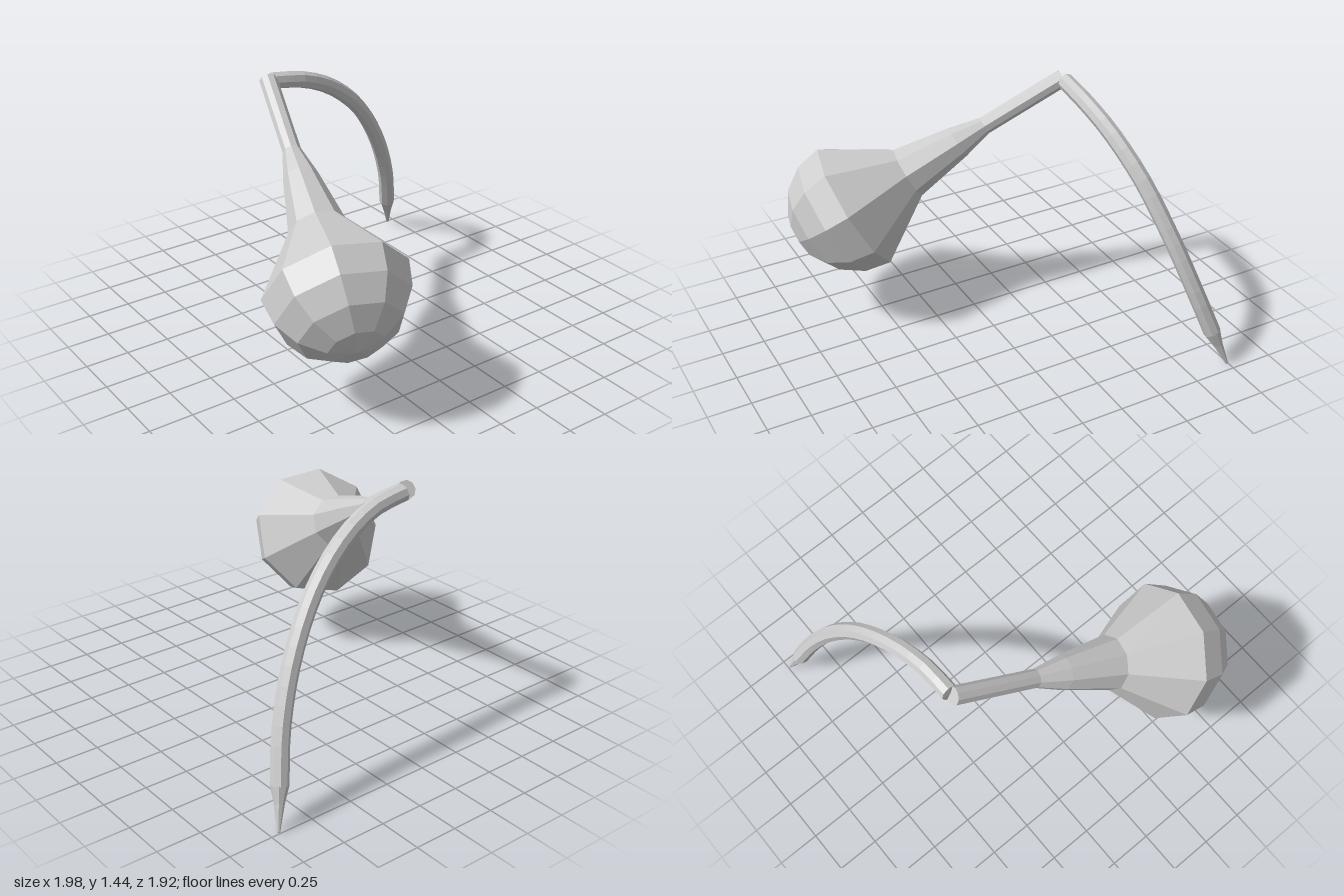
import * as THREE from 'three';

const v = (x, y, z) => new THREE.Vector3(x, y, z);

// Faceted solid of revolution whose profile runs from `start` along `dir`
function lathe(name, profile, sides, start, dir, facing, material) {
  const geo = new THREE.LatheGeometry(profile.map(([r, t]) => new THREE.Vector2(r, t)), sides);
  const y = dir.clone().normalize();
  const z = facing.clone().addScaledVector(y, -facing.dot(y)).normalize();
  const x = y.clone().cross(z);
  geo.applyMatrix4(new THREE.Matrix4().makeBasis(x, y, z).setPosition(start));
  const mesh = new THREE.Mesh(geo, material);
  mesh.name = name;
  return mesh;
}

export function createModel() {
  const group = new THREE.Group();
  group.name = 'bulbWithCurvedStem';
  const material = new THREE.MeshStandardMaterial({ color: 0xcccccc, flatShading: true });

  // Neck flaring into a bulb, closed by a faceted hemisphere
  const joint = v(-0.565, 1.397, 0.225);
  const bulbCentre = v(0.6, 0.71, 0.575);
  const axis = bulbCentre.clone().sub(joint);
  const length = axis.length();
  const R = 0.393;
  const profile = [[0, 0], [0.052, 0], [0.052, 0.52], [0.097, 0.7], [0.157, 1.036]];
  const steps = 4;
  for (let i = 0; i <= steps; i++) {
    const a = (i / steps) * Math.PI / 2;
    profile.push([i === steps ? 0 : R * Math.cos(a), length + R * Math.sin(a)]);
  }
  group.add(lathe('bulb', profile, 9, joint, axis, v(0.049, 0.539, 0.842), material));

  // Long drooping stem, its start tucked into the end of the neck
  const path = new THREE.CatmullRomCurve3([
    v(-0.565, 1.387, 0.2), v(-0.568, 1.352, 0), v(-0.6, 1.255, -0.22),
    v(-0.66, 1.06, -0.46), v(-0.737, 0.78, -0.66), v(-0.828, 0.47, -0.805),
    v(-0.915, 0.21, -0.885),
  ]);
  const stem = new THREE.Mesh(new THREE.TubeGeometry(path, 18, 0.049, 8), material);
  stem.name = 'stem';
  group.add(stem);

  // Cap closing the stem at the joint
  const capDir = path.getTangent(0).negate();
  group.add(lathe('stemCap', [[0.049, 0], [0, 0.004]], 8, path.getPoint(0), capDir, v(0, 1, 0), material));

  // Narrow pointed tip at the lower end of the stem
  const end = path.getPoint(1);
  const tipDir = v(-0.993, 0.003, -0.953).sub(end);
  const tipLength = tipDir.length();
  group.add(lathe('stemTip',
    [[0.049, -0.005], [0.028, tipLength * 0.38], [0.008, tipLength * 0.98], [0, tipLength]],
    8, end, tipDir, v(1, 0, 0), material));

  return group;
}
